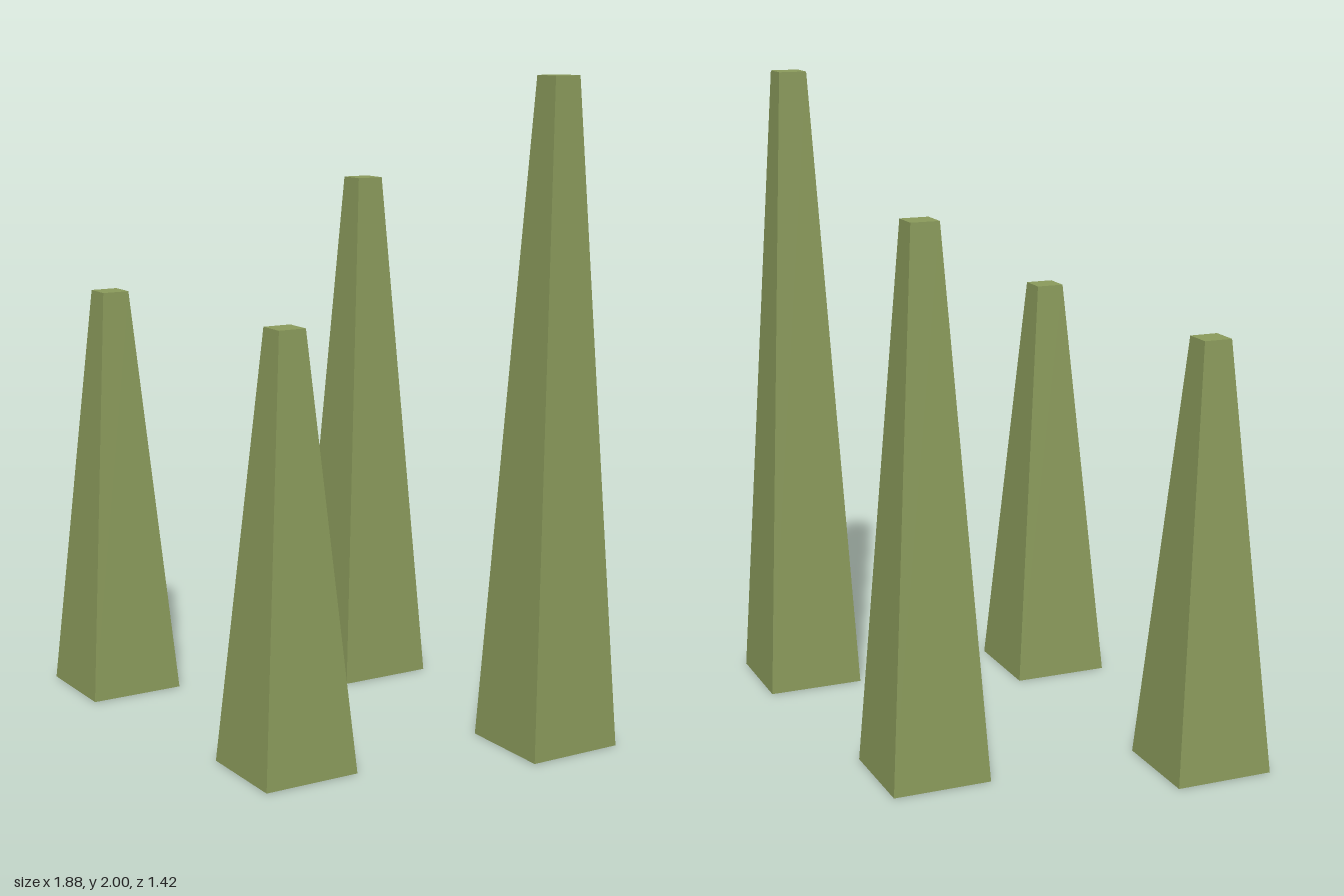
import * as THREE from 'three';

export function createModel() {
  const group = new THREE.Group();
  const material = new THREE.MeshStandardMaterial({ color: 0x8a9a5b, flatShading: true });

  // four-sided tapered spire, corners on the x and z axes
  const addSpire = (name, x, z, height) => {
    const spire = new THREE.Mesh(new THREE.CylinderGeometry(0.062, 0.215, height, 4), material);
    spire.name = name;
    spire.position.set(x, height / 2, z);
    group.add(spire);
  };

  addSpire('leftSpire', 0.723, 0.083, 2);
  addSpire('backSpire', 0.018, -0.497, 1.652);
  addSpire('frontSpire', 0.018, 0.497, 1.304);
  addSpire('rightSpire', -0.725, -0.125, 1.304);
  return group;
}
